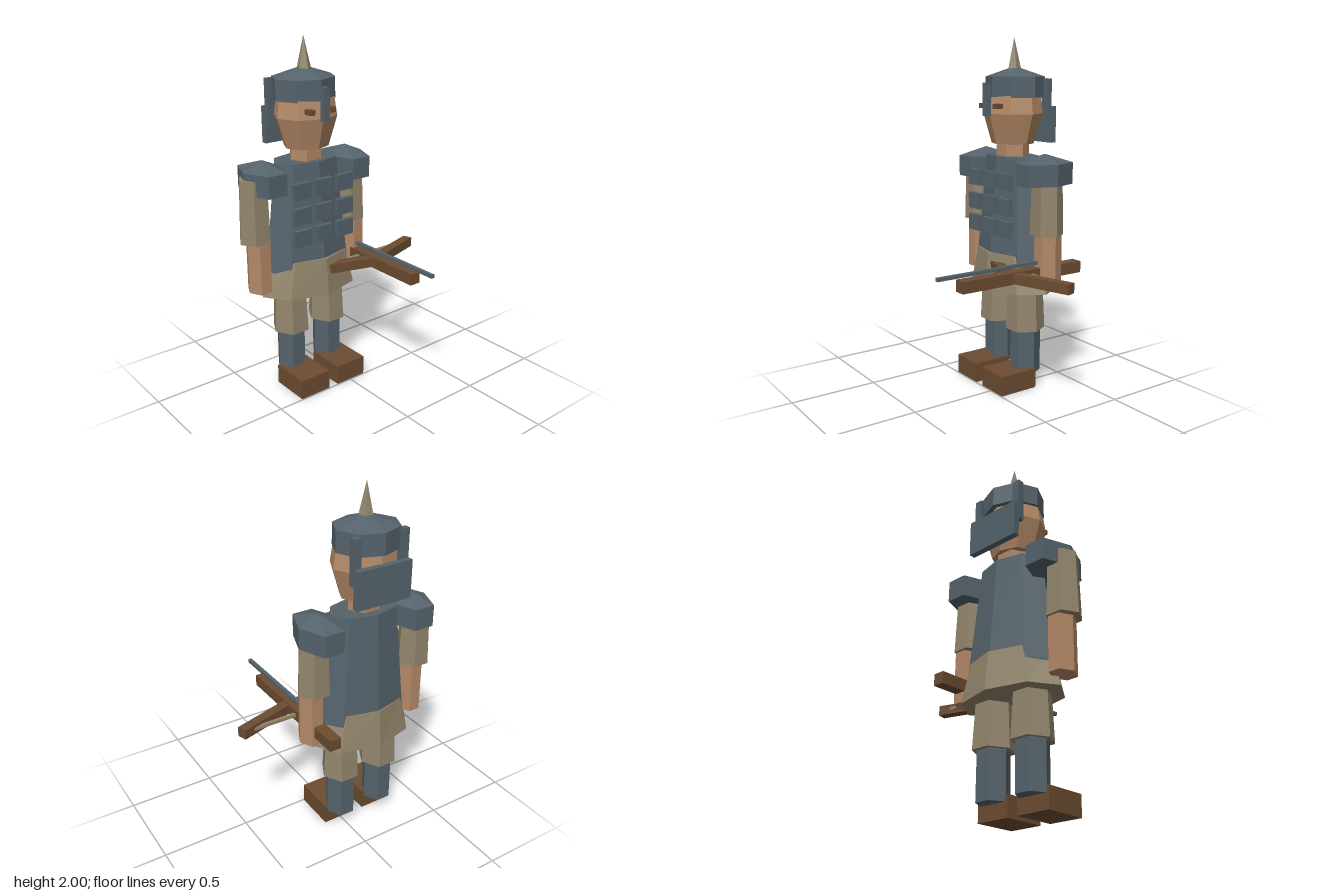
import * as THREE from 'three';

export function createModel() {
  const model = new THREE.Group();
  model.name = 'crossbowGuard';

  const material = (name, color) => {
    const m = new THREE.MeshStandardMaterial({ color });
    m.name = name;
    return m;
  };
  const steel = material('steel', 0x55636c);
  const cloth = material('cloth', 0x93866c);
  const skin = material('skin', 0xb48a68);
  const wood = material('leatherAndWood', 0x6c4c31);

  const CX = -0.12, CZ = -0.245; // body axis

  // Adds a faceted mesh
  function add(name, geometry, mat) {
    const g = geometry.index ? geometry.toNonIndexed() : geometry;
    g.computeVertexNormals();
    const mesh = new THREE.Mesh(g, mat);
    mesh.name = name;
    model.add(mesh);
    return mesh;
  }

  // Box given by its limits on each axis
  function box(name, mat, [x0, x1], [y0, y1], [z0, z1]) {
    const mesh = add(name, new THREE.BoxGeometry(x1 - x0, y1 - y0, z1 - z0), mat);
    mesh.position.set((x0 + x1) / 2, (y0 + y1) / 2, (z0 + z1) / 2);
    return mesh;
  }

  // Elliptical prism between two heights; bottom and top are [radius x, radius z]
  function prism(name, mat, sides, x, z, y0, y1, bottom, top) {
    const g = new THREE.CylinderGeometry(1, 1, 1, sides, 1, false, sides === 6 ? Math.PI / 2 : 0);
    const p = g.attributes.position;
    for (let i = 0; i < p.count; i++) {
      const [rx, rz] = p.getY(i) > 0 ? top : bottom;
      p.setXYZ(i, x + p.getX(i) * rx, p.getY(i) > 0 ? y1 : y0, z + p.getZ(i) * rz);
    }
    return add(name, g, mat);
  }

  // Legs: boots, greaves and trousers
  for (const [side, x] of [['right', -0.252], ['left', 0.006]]) {
    box(side + 'Boot', wood, [x - 0.098, x + 0.098], [0, 0.115], [-0.245, -0.005]);
    prism(side + 'Greave', steel, 6, x, CZ + 0.002, 0.08, 0.36, [0.085, 0.089], [0.085, 0.089]);
    prism(side + 'Trouser', cloth, 6, x, CZ + 0.003, 0.34, 0.68, [0.108, 0.116], [0.09, 0.1]);
  }

  // Tunic skirt and cuirass
  prism('skirt', cloth, 8, CX, CZ, 0.58, 0.79, [0.315, 0.2], [0.25, 0.18]);
  prism('cuirass', steel, 8, CX, CZ - 0.003, 0.72, 1.34, [0.277, 0.173], [0.206, 0.127]);

  // Chest plates
  for (const y of [1.212, 1.072, 0.945]) {
    for (const x of [-0.267, -0.124, 0.019]) {
      box('chestPlate', steel, [x - 0.054, x + 0.054], [y - 0.046, y + 0.046], [-0.096, -0.067]);
    }
  }

  // Arms and shoulder guards
  for (const [side, armX, padX] of [['right', -0.465, -0.405], ['left', 0.184, 0.158]]) {
    const foreX = side === 'right' ? -0.45 : 0.202;
    prism(side + 'Sleeve', cloth, 6, armX, CZ - 0.003, 0.925, 1.28, [0.093, 0.095], [0.081, 0.085]);
    prism(side + 'Forearm', skin, 6, foreX, CZ, 0.63, 0.96, [0.067, 0.081], [0.067, 0.081]);
    prism(side + 'ShoulderGuard', steel, 6, padX, CZ - 0.005, 1.2, 1.32, [0.116, 0.177], [0.116, 0.177]);
    prism(side + 'ShoulderCap', steel, 6, padX, CZ - 0.005, 1.32, 1.37, [0.116, 0.177], [0.002, 0.002]);
  }

  // Neck and head
  prism('neck', skin, 6, CX - 0.003, CZ + 0.003, 1.3, 1.45, [0.096, 0.092], [0.096, 0.092]);
  prism('jaw', skin, 8, CX, CZ + 0.008, 1.41, 1.58, [0.13, 0.115], [0.184, 0.16]);
  prism('face', skin, 8, CX, CZ + 0.006, 1.58, 1.7, [0.184, 0.16], [0.166, 0.143]);
  for (const x of [-0.195, -0.06]) {
    box('eye', wood, [x - 0.017, x + 0.017], [1.61, 1.637], [-0.13, -0.067]);
  }

  // Helmet with nose guard, neck guard and spike
  prism('helmetBand', steel, 8, CX, CZ - 0.008, 1.67, 1.785, [0.181, 0.161], [0.181, 0.161]);
  prism('helmetDome', steel, 8, CX, CZ - 0.006, 1.785, 1.843, [0.181, 0.161], [0.002, 0.002]);
  prism('helmetSpike', cloth, 5, CX, CZ, 1.8, 2.0, [0.046, 0.046], [0.0005, 0.0005]);
  box('noseGuard', steel, [-0.14, -0.104], [1.57, 1.752], [-0.076, -0.042]);
  for (const x of [-0.262, 0.022]) {
    box('neckGuardStrap', steel, [x - 0.022, x + 0.022], [1.53, 1.775], [-0.387, -0.35]);
  }
  box('neckGuard', steel, [-0.285, 0.043], [1.415, 1.62], [-0.421, -0.386]);

  // Crossbow: stock, two swept limbs, string and bolt
  box('crossbowStock', wood, [0.157, 0.223], [0.685, 0.75], [-0.469, 0.331]);
  for (const s of [-1, 1]) {
    const limb = add('crossbowLimb', new THREE.BoxGeometry(0.38, 0.055, 0.055), wood);
    limb.position.set(0.19 + s * 0.178, 0.717, -0.063);
    limb.rotation.y = s * 0.293;
  }
  box('bowString', cloth, [-0.15, 0.52], [0.71, 0.728], [-0.125, -0.106]);
  box('bolt', steel, [0.179, 0.201], [0.767, 0.786], [-0.2, 0.467]);

  return model;
}
